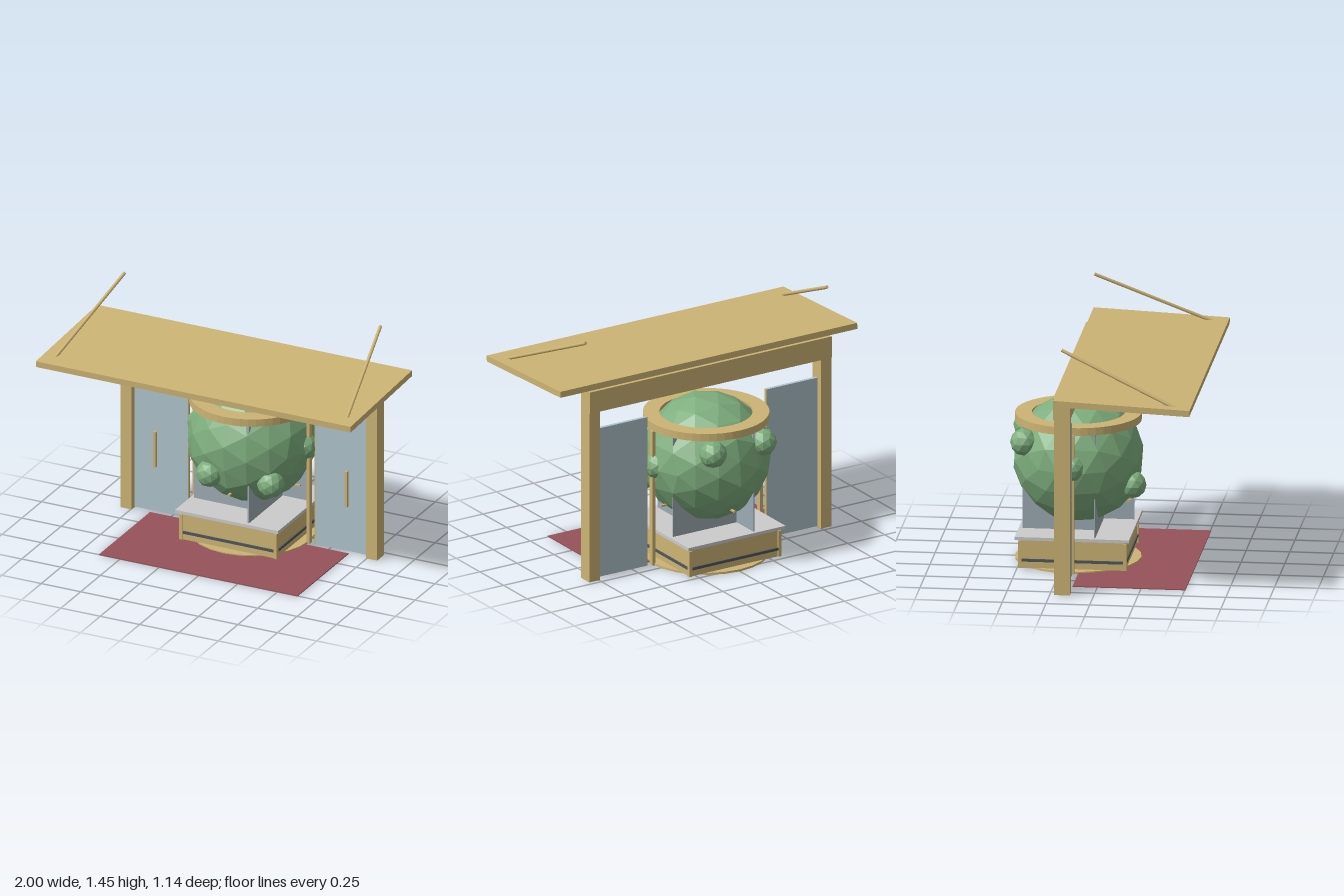
import * as THREE from 'three';

const mat = (color, extra = {}) => new THREE.MeshStandardMaterial({ color, ...extra });
const wood = mat(0xcdb474);
const panel = mat(0xafc3cc);
const fin = mat(0x9dabb3);
const dark = mat(0x50565c);
const plate = mat(0xcccccc);
const red = mat(0x96525a);
const green = mat(0x7dad7d, { flatShading: true });

const CZ = -0.18; // depth of the ball's axis

export function createModel() {
  const model = new THREE.Group();
  const add = (name, geometry, material, x, y, z) => {
    const mesh = new THREE.Mesh(geometry, material);
    mesh.name = name;
    mesh.position.set(x, y, z);
    model.add(mesh);
    return mesh;
  };
  // Box given by its minimum and maximum on each axis
  const box = (name, material, x0, x1, y0, y1, z0, z1) =>
    add(name, new THREE.BoxGeometry(x1 - x0, y1 - y0, z1 - z0), material,
      (x0 + x1) / 2, (y0 + y1) / 2, (z0 + z1) / 2);
  // Mirrored pair, given on the +x side
  const pair = (name, material, x0, x1, ...rest) => {
    box(name, material, x0, x1, ...rest);
    box(name, material, -x1, -x0, ...rest);
  };
  // Straight rod between two points
  const rod = (name, a, b, radius) => {
    const dir = b.clone().sub(a);
    const mid = a.clone().add(b).multiplyScalar(0.5);
    add(name, new THREE.CylinderGeometry(radius, radius, dir.length(), 8), wood, mid.x, mid.y, mid.z)
      .quaternion.setFromUnitVectors(new THREE.Vector3(0, 1, 0), dir.normalize());
  };

  // Gate frame
  pair('post', wood, 0.745, 0.815, 0, 1.03, -0.225, -0.135);
  box('lintel', wood, -0.815, 0.815, 1.03, 1.16, -0.23, -0.135);

  // Sloping canopy and its stay rods
  add('canopy', new THREE.BoxGeometry(2, 0.036, 0.78), wood, 0, 1.161, 0.18).rotation.x = 0.045;
  for (const s of [-1, 1])
    rod('stayRod', new THREE.Vector3(s * 0.937, 1.135, 0.53), new THREE.Vector3(s * 0.813, 1.445, -0.182), 0.01);

  // Doors with edge trims and handles
  pair('door', panel, 0.405, 0.745, 0.005, 0.91, -0.19, -0.17);
  pair('doorEdge', wood, 0.4, 0.405, 0.005, 0.91, -0.19, -0.17);
  pair('doorHandle', wood, 0.6, 0.616, 0.285, 0.505, -0.17, -0.15);

  // Floor mat and round foot
  box('mat', red, -0.63, 0.63, 0, 0.006, -0.14, 0.505);
  add('foot', new THREE.CylinderGeometry(0.36, 0.36, 0.012, 24), wood, 0, 0.007, CZ);

  // Square pedestal with a dark band, corner strips and a top plate
  const square = (name, material, half, y0, y1) =>
    box(name, material, -half, half, y0, y1, CZ - half, CZ + half);
  square('pedestal', wood, 0.302, 0.012, 0.18);
  square('pedestalBand', dark, 0.309, 0.05, 0.066);
  square('topPlate', plate, 0.327, 0.18, 0.199);
  for (const sx of [-1, 1]) for (const sz of [-1, 1])
    add('cornerStrip', new THREE.BoxGeometry(0.02, 0.155, 0.02), wood, sx * 0.3, 0.09, CZ + sz * 0.3);

  // Four upright fins in a pinwheel under the ball
  for (let i = 0; i < 4; i++) {
    const holder = new THREE.Group();
    holder.name = 'finHolder';
    holder.position.set(0, 0.51, CZ);
    holder.rotation.y = i * Math.PI / 2;
    const blade = new THREE.Mesh(new THREE.BoxGeometry(0.008, 0.63, 0.435), fin);
    blade.name = 'fin';
    blade.position.set(0.127, 0, 0.088);
    holder.add(blade);
    model.add(holder);
  }

  // Centre stem and cross arms
  add('stem', new THREE.CylinderGeometry(0.02, 0.02, 0.3, 12), wood, 0, 0.34, CZ);
  box('crossArm', wood, -0.305, 0.305, 0.34, 0.35, CZ - 0.006, CZ + 0.006);
  box('crossArm', wood, -0.006, 0.006, 0.34, 0.35, CZ - 0.305, CZ + 0.305);

  // Faceted ball with a slightly uneven surface
  const ball = new THREE.IcosahedronGeometry(0.373, 2);
  const p = ball.attributes.position;
  const v = new THREE.Vector3();
  for (let i = 0; i < p.count; i++) {
    v.fromBufferAttribute(p, i);
    v.multiplyScalar(1 + 0.018 * Math.sin(v.x * 17 + 1) * Math.cos(v.y * 19 + v.z * 13));
    p.setXYZ(i, v.x, v.y, v.z);
  }
  ball.computeVertexNormals();
  add('ball', ball, green, 0, 0.594, CZ);

  // Knobs on the ball
  const knobs = [
    [-0.11, 0.47, 0.142], [0.24, 0.443, 0.065], [0.327, 0.6, CZ], [-0.327, 0.615, CZ],
    [0.15, 0.73, -0.49], [-0.2, 0.725, -0.468],
  ];
  for (const k of knobs) add('knob', new THREE.IcosahedronGeometry(0.08, 1), green, ...k);

  // Collar ring on two thin poles
  const ring = new THREE.Shape().absarc(0, 0, 0.36, 0, Math.PI * 2);
  ring.holes.push(new THREE.Path().absarc(0, 0, 0.265, 0, Math.PI * 2, true));
  add('collarRing', new THREE.ExtrudeGeometry(ring, { depth: 0.045, bevelEnabled: false, curveSegments: 24 }),
    wood, 0, 0.86, CZ).rotation.x = Math.PI / 2;
  pair('ringPole', wood, 0.353, 0.371, 0, 0.817, CZ - 0.018, CZ + 0.018);

  return model;
}
